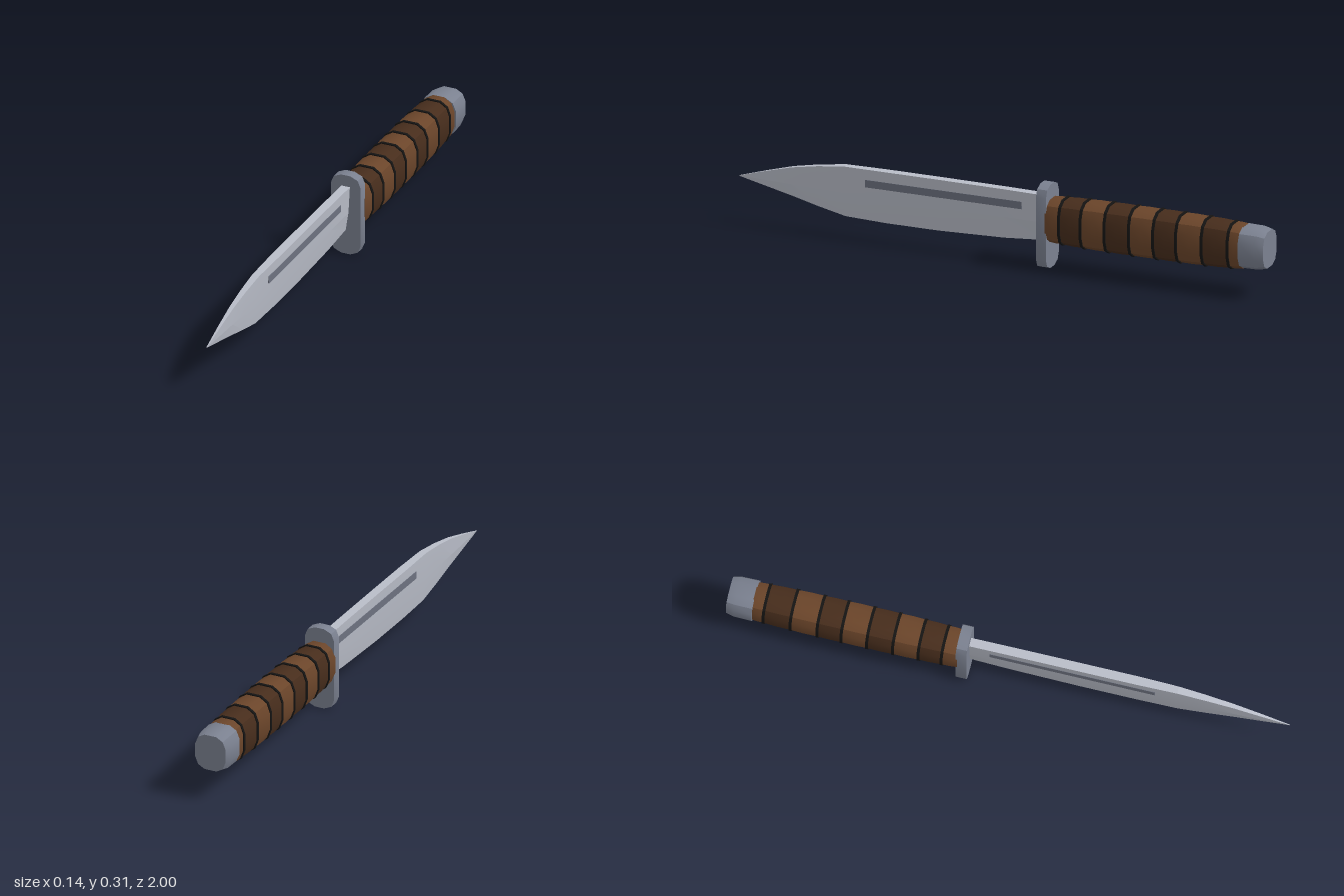
import * as THREE from 'three';
import { toCreasedNormals } from 'three/addons/utils/BufferGeometryUtils.js';

const STEEL = 0x7b8190, BLADE = 0xb9bdc8, GROOVE = 0x6d7280;
const LIGHT = 0x6b452a, DARK = 0x472d1c, BLACK = 0x151413;
const AXIS = 0.175; // height of the grip's centre line

// Twelve-sided rounded rectangle, counter-clockwise; corner is in fractions of the half sizes
const GRIP_CORNER = [[1, 0.39], [0.81, 0.79], [0.39, 1]];
const GUARD_CORNER = [[1, 0.74], [0.8, 0.92], [0.3, 1]];
function section(hw, hh, cy, z, corner = GRIP_CORNER) {
  const back = [...corner].reverse();
  const turn = (list, sx, sy) => list.map(([x, y]) => [sx * x * hw, cy + sy * y * hh, z]);
  return [...turn(corner, 1, 1), ...turn(back, -1, 1), ...turn(corner, -1, -1), ...turn(back, 1, -1)];
}

// Closed skin over sections ordered from back (-z) to front (+z)
function loft(rings, crease) {
  const n = rings[0].length, pos = [];
  const tri = (a, b, c) => pos.push(...a, ...b, ...c);
  for (let i = 0; i < rings.length - 1; i++) {
    for (let j = 0; j < n; j++) {
      const k = (j + 1) % n;
      tri(rings[i][j], rings[i][k], rings[i + 1][k]);
      tri(rings[i][j], rings[i + 1][k], rings[i + 1][j]);
    }
  }
  const first = rings[0], last = rings[rings.length - 1];
  for (let j = 1; j < n - 1; j++) {
    tri(first[0], first[j + 1], first[j]);
    tri(last[0], last[j], last[j + 1]);
  }
  const geo = new THREE.BufferGeometry();
  geo.setAttribute('position', new THREE.Float32BufferAttribute(pos, 3));
  geo.computeVertexNormals();
  return toCreasedNormals(geo, crease);
}

export function createModel() {
  const model = new THREE.Group();
  model.name = 'knife';
  const add = (parent, name, geo, color) => {
    const mesh = new THREE.Mesh(geo, new THREE.MeshStandardMaterial({ color }));
    mesh.name = name;
    parent.add(mesh);
    return mesh;
  };

  // Blade: z, spine height, ridge height, edge height, spine half width, ridge half width
  const stations = [
    [-0.15, 0.262, 0.16, 0.093, 0.016, 0.0105],
    [0, 0.264, 0.16, 0.081, 0.016, 0.0105],
    [0.25, 0.265, 0.16, 0.073, 0.016, 0.0105],
    [0.45, 0.265, 0.162, 0.073, 0.016, 0.0105],
    [0.6, 0.264, 0.165, 0.078, 0.0135, 0.0095],
    [0.7, 0.251, 0.167, 0.1, 0.011, 0.008],
    [0.8, 0.232, 0.169, 0.125, 0.008, 0.006],
    [0.9, 0.204, 0.171, 0.148, 0.005, 0.004],
    [1, 0.174, 0.173, 0.171, 0.001, 0.001],
  ];
  add(model, 'blade', loft(stations.map(([z, top, mid, low, w, r]) =>
    [[w, top, z], [-w, top, z], [-r, mid, z], [0, low, z], [r, mid, z]]), 0.1), BLADE);

  // Groove strips on both faces of the blade
  const strip = add(model, 'bladeGroove', new THREE.BoxGeometry(0.031, 0.027, 0.59), GROOVE);
  strip.position.set(0, 0.213, 0.225);

  // Cross guard
  add(model, 'guard', loft([-0.18, -0.142].map(z =>
    section(0.057, 0.1525, 0.1525, z, GUARD_CORNER)), 0.6), STEEL);

  // Grip: bands in two browns, with a thin dark ring at every joint
  const grip = new THREE.Group();
  grip.name = 'grip';
  model.add(grip);
  const joints = [-0.175, -0.23, -0.312, -0.403, -0.495, -0.587, -0.673, -0.769, -0.866, -0.91];
  const swell = z => 1 - 0.09 * Math.pow(Math.abs(z + 0.54) / 0.37, 3);
  const gripRing = (z, scale = 1) =>
    section(0.066 * swell(z) * scale, 0.085 * swell(z) * scale, AXIS, z);
  for (let i = 0; i < joints.length - 1; i++) {
    const front = joints[i], back = joints[i + 1], mid = (front + back) / 2;
    add(grip, 'gripBand', loft([gripRing(back, 0.985), gripRing(mid), gripRing(front, 0.985)], 0.6),
      i % 2 ? DARK : LIGHT);
    if (i > 0) {
      add(grip, 'gripRing', loft([gripRing(front - 0.005, 1.035), gripRing(front + 0.005, 1.035)], 0.6), BLACK);
    }
  }

  // Pommel
  add(model, 'pommel', loft([
    section(0.059, 0.066, AXIS + 0.002, -1),
    section(0.065, 0.073, AXIS + 0.002, -0.97),
    section(0.066, 0.074, AXIS + 0.002, -0.907),
  ], 0.6), STEEL);

  return model;
}
